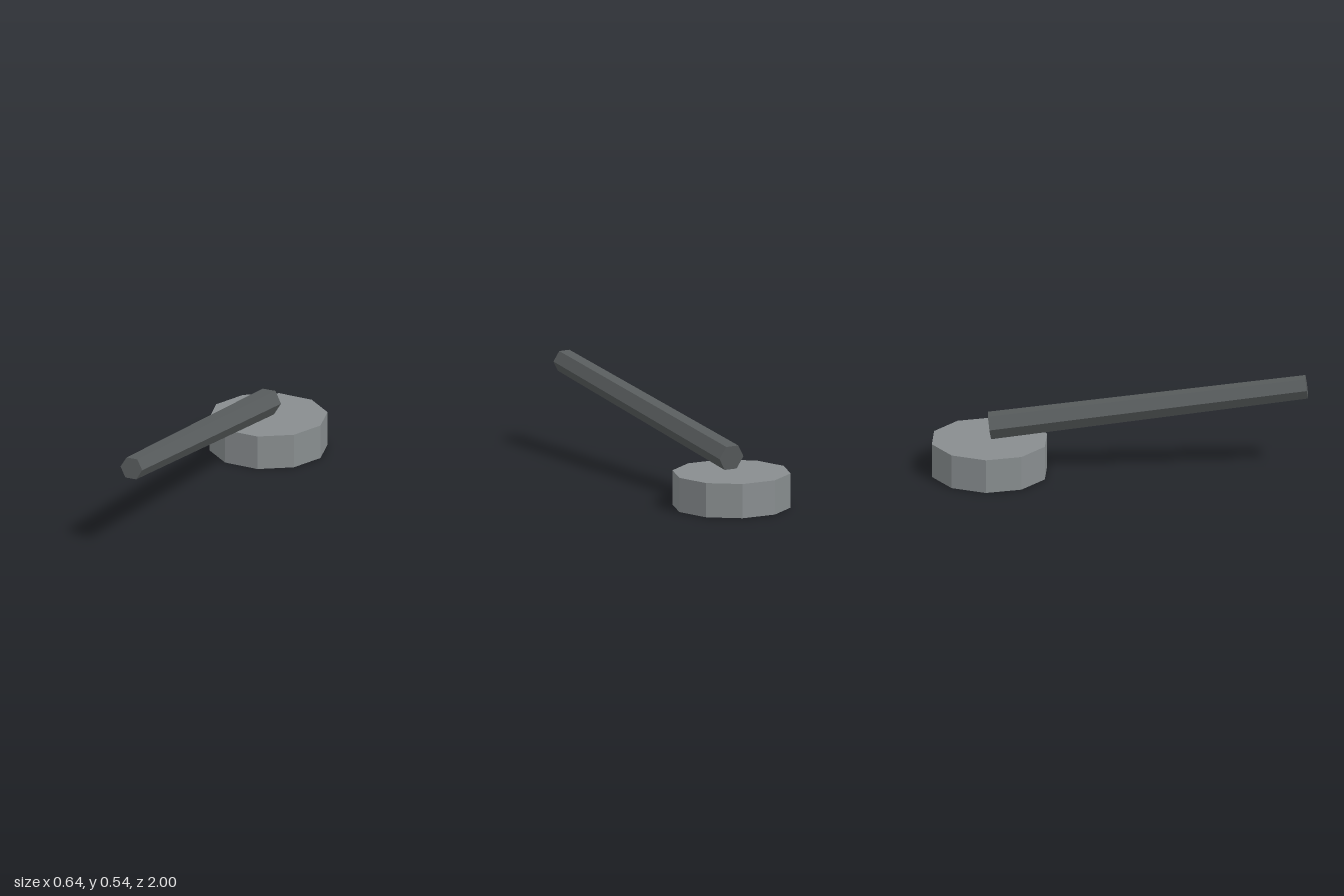
import * as THREE from 'three';

export function createModel() {
  const group = new THREE.Group();
  const lightGrey = new THREE.MeshStandardMaterial({ name: 'light grey', color: 0x888d8f, flatShading: true });
  const darkGrey = new THREE.MeshStandardMaterial({ name: 'dark grey', color: 0x585c5d, flatShading: true });

  // Ten-sided base disc with corners pointing to the sides
  const baseHeight = 0.187;
  const base = new THREE.Mesh(new THREE.CylinderGeometry(0.318, 0.318, baseHeight, 10), lightGrey);
  base.name = 'base';
  base.rotation.y = Math.PI / 10;
  base.position.set(0, baseHeight / 2, -0.698);
  group.add(base);

  // Tapered six-sided lever, rising forwards and a little to the left
  const back = new THREE.Vector3(0, 0.264, -0.698);
  const front = new THREE.Vector3(0.094, 0.489, 0.994);
  const leverGeometry = new THREE.CylinderGeometry(0.064, 0.075, back.distanceTo(front), 6);
  leverGeometry.rotateY(Math.PI / 6).rotateX(Math.PI / 2);
  const lever = new THREE.Mesh(leverGeometry, darkGrey);
  lever.name = 'lever';
  lever.position.copy(back).lerp(front, 0.5);
  lever.lookAt(front);
  group.add(lever);

  return group;
}
